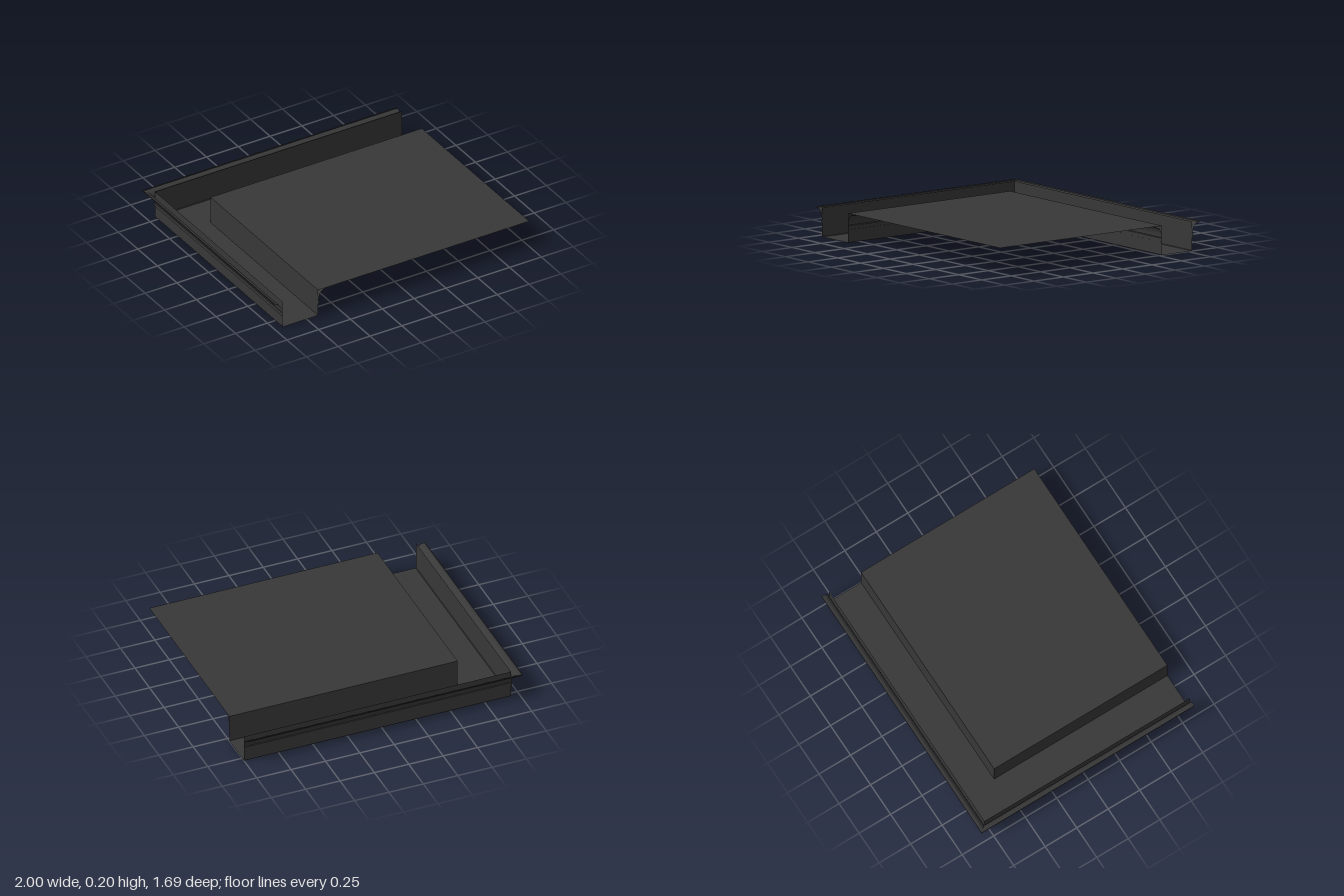
import * as THREE from 'three';
import { toCreasedNormals } from 'three/addons/utils/BufferGeometryUtils.js';

const END_X = 1, END_Z = 0.845;       // cut ends of the two runs
const OUT = { x: -0.94, z: -0.785 };  // outer wall corner
const INN = { x: -0.66, z: -0.53 };   // inner wall corner

const material = new THREE.MeshStandardMaterial({ color: 0x383838, side: THREE.DoubleSide });

// Sweeps a profile along the mitred L; each profile point [x, y, z] is its place at the corner.
function sweepCorner(name, profile) {
  const pos = [], index = [];
  const rows = [
    ([x, y, z]) => [[END_X, y, z], [x, y, z]],   // run along the back
    ([x, y, z]) => [[x, y, z], [x, y, END_Z]],   // run along the side
  ];
  for (const row of rows) {
    const start = pos.length / 3;
    profile.forEach((p, i) => {
      row(p).forEach(v => pos.push(...v));
      if (i === 0) return;
      const a = start + 2 * (i - 1);
      index.push(a, a + 2, a + 1, a + 1, a + 2, a + 3);
    });
  }
  const geo = new THREE.BufferGeometry();
  geo.setAttribute('position', new THREE.Float32BufferAttribute(pos, 3));
  geo.setIndex(index);
  const mesh = new THREE.Mesh(toCreasedNormals(geo, 0.5), material);
  mesh.name = name;
  return mesh;
}

// Moulding profile as [offset from wall, height]: bead, cove, top lip.
function mouldingProfile(reach) {
  const pts = [[0, 0.088], [0.006, 0.09], [0.006, 0.115], [0.002, 0.118]];
  const steps = 10, r = reach - 0.012;
  for (let i = 0; i <= steps; i++) {
    const a = (i / steps) * Math.PI / 2;
    pts.push([0.004 + r * (1 - Math.cos(a)), 0.12 + 0.07 * Math.sin(a)]);
  }
  pts.push([reach, 0.191], [reach, 0.2]);
  return pts;
}

export function createModel() {
  const group = new THREE.Group();
  group.name = 'ceilingCorner';

  // Open-topped trough: outer wall, soffit, inner wall
  const b = 0.004;
  group.add(sweepCorner('soffitTrough', [
    [OUT.x, 0.2, OUT.z], [OUT.x, b, OUT.z], [OUT.x + b, 0, OUT.z + b],
    [INN.x, 0, INN.z], [INN.x, 0.2, INN.z],
  ]));

  // Cove mouldings flaring away from each wall
  group.add(sweepCorner('outerMoulding',
    mouldingProfile(0.06).map(([o, y]) => [OUT.x - o, y, OUT.z - o]).reverse()));
  group.add(sweepCorner('innerMoulding',
    mouldingProfile(0.05).map(([o, y]) => [INN.x + o, y, INN.z + o])));

  // Raised ceiling panel
  const w = END_X - INN.x, d = END_Z - INN.z;
  const panel = new THREE.Mesh(new THREE.PlaneGeometry(w, d).rotateX(-Math.PI / 2), material);
  panel.name = 'ceilingPanel';
  panel.position.set(INN.x + w / 2, 0.2, INN.z + d / 2);
  group.add(panel);

  return group;
}
